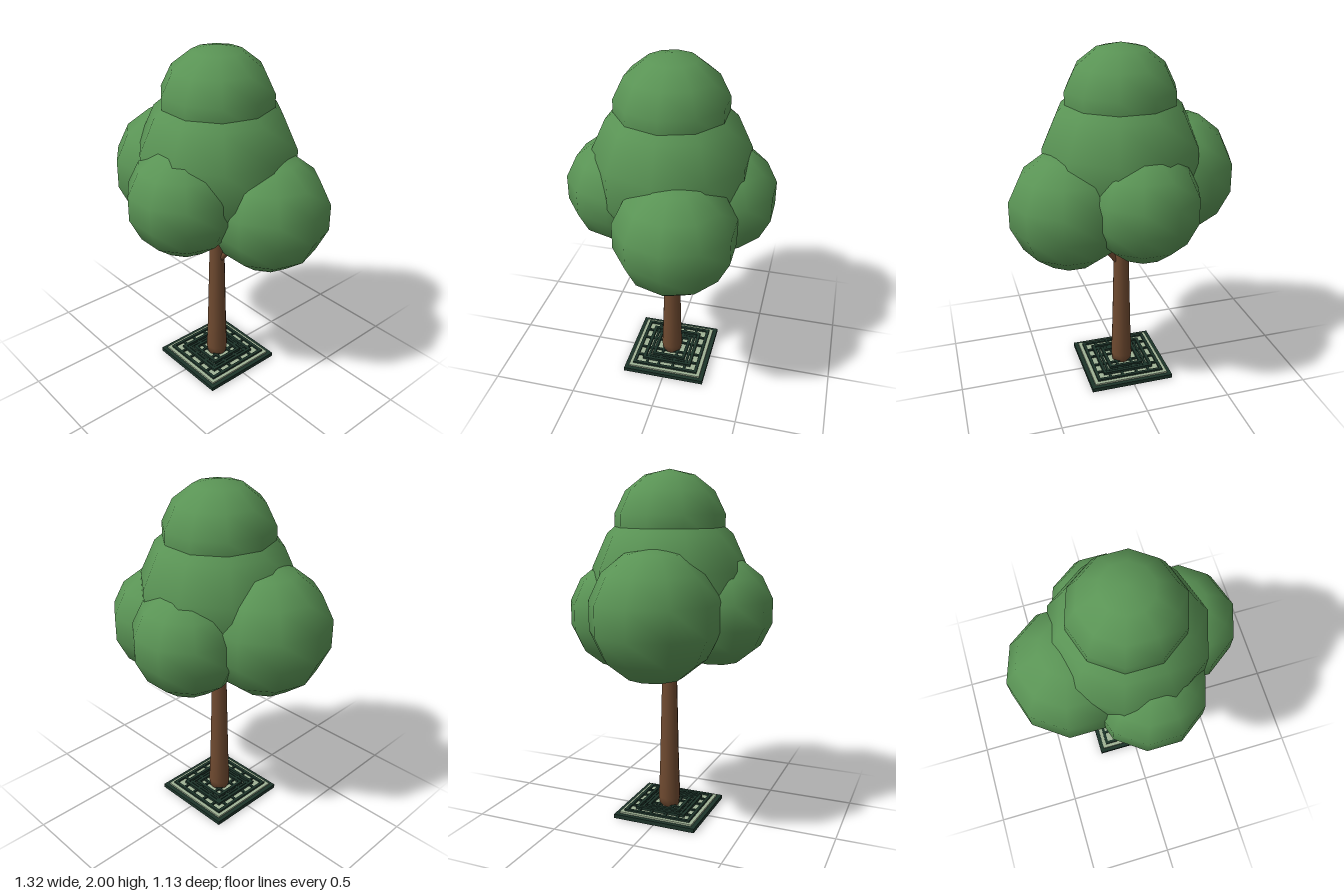
import * as THREE from 'three';

const CX = 0.008; // the trunk and grate sit slightly off the crown's centre

function material(color) {
  return new THREE.MeshStandardMaterial({ color });
}

export function createModel() {
  const tree = new THREE.Group();
  tree.name = 'tree';
  const leaf = material(0x5a9455);
  const bark = material(0x6f4a30);
  const iron = material(0x1c3329);
  const gravel = material(0x9fb295);

  function add(parent, name, geometry, mat, x = 0, y = 0, z = 0) {
    const mesh = new THREE.Mesh(geometry, mat);
    mesh.name = name;
    mesh.position.set(x, y, z);
    parent.add(mesh);
    return mesh;
  }

  // Crown: overlapping coarse spheres [name, x, y, z, radius, half height]
  const crown = new THREE.Group();
  crown.name = 'crown';
  tree.add(crown);
  const blobs = [
    ['crownCentre', 0.01, 1.355, 0, 0.452, 0.475],
    ['crownTop', 0.01, 1.69, 0, 0.318, 0.31],
    ['crownRight', -0.308, 1.235, 0.045, 0.361, 0.365],
    ['crownLeft', 0.329, 1.135, -0.095, 0.34, 0.335],
    ['crownFront', 0.054, 1.225, 0.27, 0.318, 0.313],
    ['crownBack', -0.035, 1.19, -0.27, 0.318, 0.318],
  ];
  for (const [name, x, y, z, r, h] of blobs) {
    add(crown, name, new THREE.SphereGeometry(1, 10, 7), leaf, x, y, z).scale.set(r, h, r);
  }

  // Trunk: tapered, with a short flare at the foot
  const profile = [[0, 0.02], [0.055, 0.02], [0.065, 0.085], [0.057, 0.28], [0.042, 0.9], [0.038, 1.1], [0, 1.1]];
  add(tree, 'trunk', new THREE.LatheGeometry(profile.map(([r, y]) => new THREE.Vector2(r, y)), 12), bark, CX);

  // Branches: thin tapered rods from the trunk into the crown
  function branch(name, from, to) {
    const a = new THREE.Vector3(...from);
    const dir = new THREE.Vector3(...to).sub(a);
    const geometry = new THREE.CylinderGeometry(0.011, 0.018, dir.length(), 7);
    const mesh = add(tree, name, geometry, bark);
    mesh.position.copy(a).addScaledVector(dir, 0.5);
    mesh.quaternion.setFromUnitVectors(new THREE.Vector3(0, 1, 0), dir.normalize());
  }
  branch('branchLeft', [0.03, 0.72, -0.005], [0.21, 0.96, -0.03]);
  branch('branchRight', [0, 0.8, 0], [-0.16, 1.01, 0.02]);

  // Tree grate: plinth, pale bed, then concentric square rings and cross bars
  const grate = new THREE.Group();
  grate.name = 'grate';
  grate.position.x = CX;
  tree.add(grate);
  add(grate, 'plinth', new THREE.BoxGeometry(0.5, 0.024, 0.5), iron, 0, 0.012, 0);
  add(grate, 'gravelBed', new THREE.BoxGeometry(0.45, 0.01, 0.45), gravel, 0, 0.029, 0);

  function bar(name, length, width, y, x, z, alongX) {
    const size = alongX ? [length, 0.018, width] : [width, 0.018, length];
    add(grate, name, new THREE.BoxGeometry(...size), iron, x, y, z);
  }
  for (const [half, y] of [[0.195, 0.036], [0.145, 0.041], [0.095, 0.041]]) {
    for (const s of [-1, 1]) {
      bar('ringBar', half * 2 + 0.018, 0.018, y, 0, s * half, true);
      bar('ringBar', half * 2 + 0.018, 0.018, y, s * half, 0, false);
    }
  }
  for (const offset of [-0.12, -0.045, 0.045, 0.12]) {
    bar('crossBar', 0.4, 0.014, 0.035, 0, offset, true);
    bar('crossBar', 0.4, 0.014, 0.035, offset, 0, false);
  }
  return tree;
}
